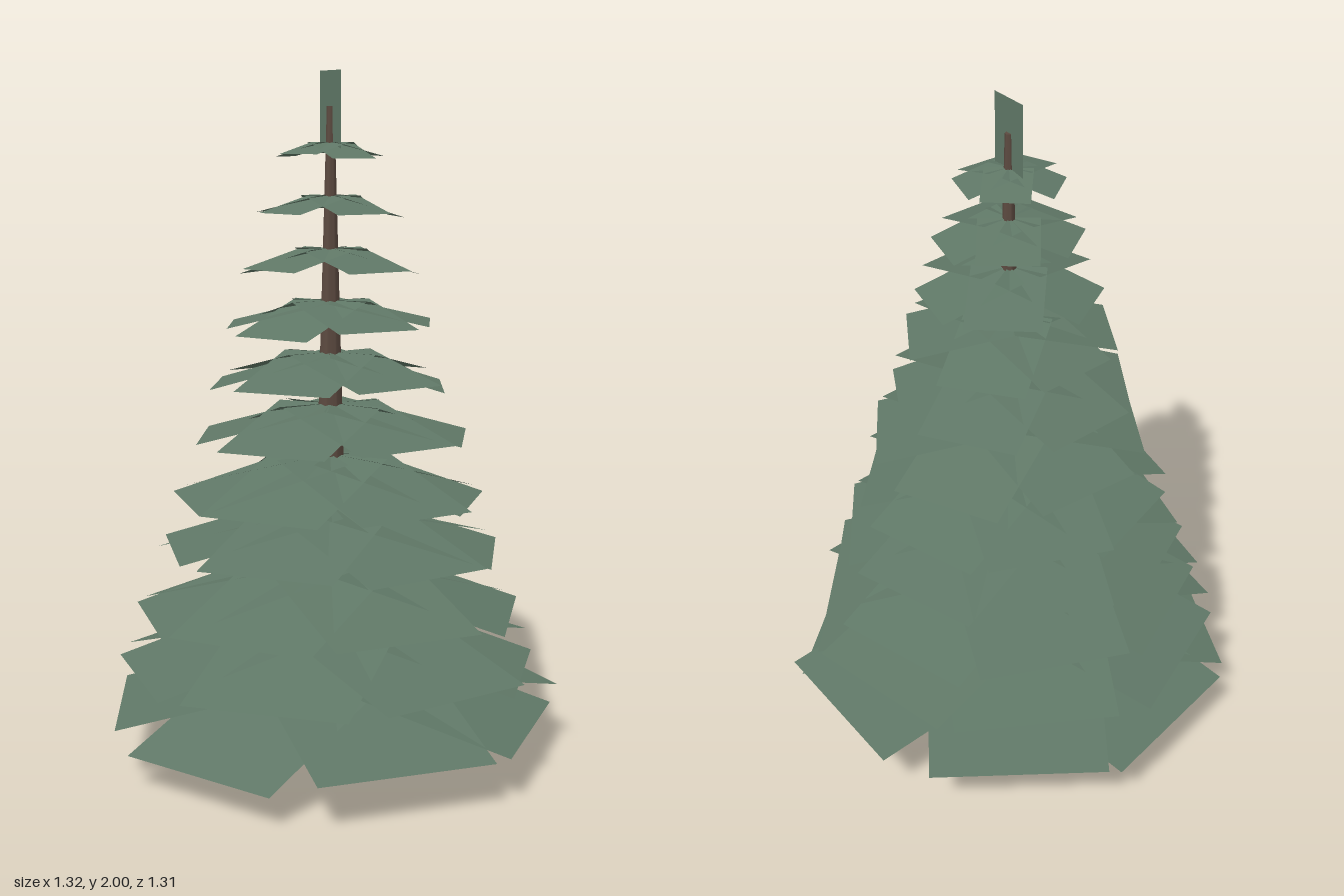
import * as THREE from 'three';

const foliage = new THREE.MeshStandardMaterial({ color: 0x5f7766, side: THREE.DoubleSide });
foliage.name = 'needle green';
const bark = new THREE.MeshStandardMaterial({ color: 0x5c4a40 });
bark.name = 'bark brown';

// Flat rectangular branch hinged on the trunk axis; angle in degrees from +x towards +z
function makeBranch(angle, reach, width, drop) {
  const geo = new THREE.PlaneGeometry(Math.hypot(reach, drop), width);
  geo.rotateX(-Math.PI / 2);
  geo.translate(Math.hypot(reach, drop) / 2, 0, 0);
  geo.rotateZ(-Math.atan2(drop, reach));
  geo.rotateY(-THREE.MathUtils.degToRad(angle));
  const mesh = new THREE.Mesh(geo, foliage);
  mesh.name = 'branch';
  return mesh;
}

export function createModel() {
  const model = new THREE.Group();
  model.name = 'firTree';
  const tree = new THREE.Group();
  tree.name = 'tree';
  tree.position.set(0.01, 0, 0.01);
  model.add(tree);

  let seed = 7;
  const jitter = () => {
    seed = (seed * 16807) % 2147483647;
    return (seed / 2147483647) * 2 - 1;
  };

  // Tapered trunk
  const trunk = new THREE.Mesh(new THREE.CylinderGeometry(0.011, 0.065, 1.9, 7), bark);
  trunk.name = 'trunk';
  trunk.position.y = 0.95;
  tree.add(trunk);

  // Lowest tier: angle, reach, drop
  const lowest = [
    [2.7, 0.636, 0.115], [48, 0.612, 0.17], [99, 0.607, 0.17], [157.3, 0.596, 0.21],
    [206.8, 0.622, 0.145], [257, 0.626, 0.15], [305.7, 0.634, 0.12],
  ];

  // Eleven tiers, shrinking towards the top
  const tiers = 11;
  for (let i = 0; i < tiers; i++) {
    const tier = new THREE.Group();
    tier.name = 'branchTier';
    tier.position.y = 0.3 + 0.15 * i;
    const reach = 0.622 - 0.048 * i;
    const width = 0.52 - 0.0385 * i;
    if (i === 0) {
      for (const [a, r, d] of lowest) tier.add(makeBranch(a, r, width, d));
    } else {
      const count = i < 5 ? 7 : i < 8 ? 6 : 5;
      for (let k = 0; k < count; k++) {
        const angle = 90 + (k * 360) / count + jitter() * 7;
        const r = reach * (1 + jitter() * 0.03);
        tier.add(makeBranch(angle, r, width, r * (0.265 + jitter() * 0.05)));
      }
    }
    tree.add(tier);
  }

  // Upright tip card
  const tip = new THREE.Mesh(new THREE.PlaneGeometry(0.12, 0.22), foliage);
  tip.name = 'treeTip';
  tip.rotation.y = Math.PI / 2;
  tip.position.y = 1.89;
  tree.add(tip);

  return model;
}
